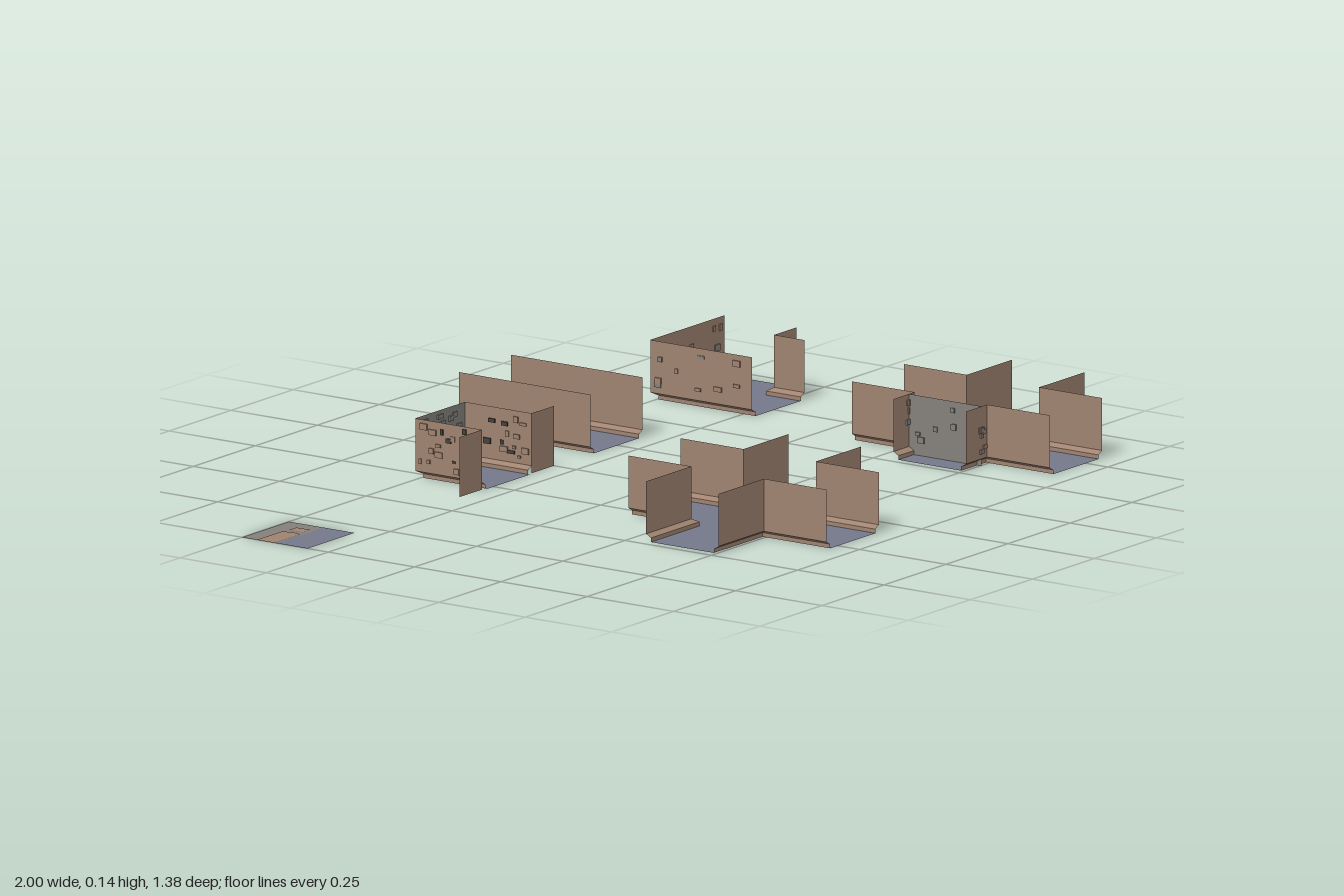
import * as THREE from 'three';

const H = 0.145;      // wall height
const SKIRT = 0.014;  // how far the skirting stands into the room
// Wall cross-section: [distance into the room, height]
const PROFILE = [[SKIRT, 0], [SKIRT, 0.01], [0, 0.018], [0, H]];

function material(name, color) {
  const m = new THREE.MeshStandardMaterial({ color, side: THREE.DoubleSide });
  m.name = name;
  return m;
}

export function createModel() {
  const floorBlue = material('floor slate', 0x757889);
  const wallBrown = material('wall brown', 0xa08370);
  const stoneGrey = material('stone grey', 0x84817c);
  const crackDark = material('crack dark', 0x46423e);

  let seed = 7;
  const rnd = () => (seed = (seed * 16807) % 2147483647) / 2147483647;

  const root = new THREE.Group();
  root.name = 'corridorSet';

  function section(name) {
    const g = new THREE.Group();
    g.name = name;
    root.add(g);
    return g;
  }

  function add(parent, name, geometry, mat) {
    const mesh = new THREE.Mesh(geometry, mat);
    mesh.name = name;
    parent.add(mesh);
    return mesh;
  }

  // Flat polygon from [x, z] corners
  function floor(parent, pts, mat = floorBlue, name = 'floor', y = 0) {
    const shape = new THREE.Shape(pts.map(([x, z]) => new THREE.Vector2(x, -z)));
    const geo = new THREE.ShapeGeometry(shape).rotateX(-Math.PI / 2);
    add(parent, name, geo, mat).position.y = y;
  }
  const rect = (x0, z0, x1, z1) => [[x0, z0], [x0, z1], [x1, z1], [x1, z0]];

  // Sweeps the wall profile along a path with mitred corners; room lies to the right-hand normal
  function walls(parent, pts, mats = []) {
    const normals = pts.slice(1).map(([x, z], i) => {
      const dx = x - pts[i][0], dz = z - pts[i][1], l = Math.hypot(dx, dz);
      return [-dz / l, dx / l];
    });
    const at = (i, [d, y]) => {
      const a = normals[i - 1] || [0, 0], b = normals[i] || [0, 0];
      return [pts[i][0] + d * (a[0] + b[0]), y, pts[i][1] + d * (a[1] + b[1])];
    };
    normals.forEach((n, i) => {
      const pos = [];
      for (let k = 0; k < PROFILE.length - 1; k++) {
        const a = at(i, PROFILE[k]), b = at(i + 1, PROFILE[k]);
        const c = at(i + 1, PROFILE[k + 1]), d = at(i, PROFILE[k + 1]);
        pos.push(...a, ...c, ...b, ...a, ...d, ...c);
      }
      const geo = new THREE.BufferGeometry();
      geo.setAttribute('position', new THREE.Float32BufferAttribute(pos, 3));
      geo.computeVertexNormals();
      add(parent, 'wall', geo, mats[i] || wallBrown);
    });
  }

  // Upright flat panel between two [x, z] points
  function panel(parent, name, [x0, z0], [x1, z1], mat) {
    const m = add(parent, name, new THREE.PlaneGeometry(Math.hypot(x1 - x0, z1 - z0), H), mat);
    m.position.set((x0 + x1) / 2, H / 2, (z0 + z1) / 2);
    m.rotation.y = -Math.atan2(z1 - z0, x1 - x0);
  }

  // Small uneven bricks scattered over a wall, standing out on both sides
  function bricks(parent, [x0, z0], [x1, z1], count, mats) {
    const len = Math.hypot(x1 - x0, z1 - z0);
    for (let i = 0; i < count; i++) {
      const w = 0.008 + rnd() * 0.014;
      const h = 0.006 + rnd() * 0.01;
      const mat = mats[i % mats.length];
      const t = (w / 2 + rnd() * (len - w)) / len;
      const b = add(parent, 'looseBrick', new THREE.BoxGeometry(w, h, 0.005 + rnd() * 0.004), mat);
      b.position.set(x0 + (x1 - x0) * t, 0.03 + rnd() * (H - 0.042), z0 + (z1 - z0) * t);
      b.rotation.y = -Math.atan2(z1 - z0, x1 - x0);
    }
  }

  // Four-way crossing; the left arm may be shorter
  function crossing(name, cx, cz, leftArm) {
    const g = section(name);
    g.position.set(cx, 0, cz);
    const L = 0.287, w = 0.105, f = w - SKIRT;
    const turn = ([x, z], k) => {
      for (; k > 0; k--) [x, z] = [-z, x];
      return [Math.max(x, -leftArm), z];
    };
    const outline = [];
    for (let k = 0; k < 4; k++) {
      walls(g, [[L, w], [w, w], [w, L]].map((p) => turn(p, k)));
      outline.push(...[[L, f], [f, f], [f, L]].map((p) => turn(p, k)));
    }
    floor(g, outline);
    return g;
  }

  crossing('crossing', -0.19, 0.4, 0.287);

  // Crossing with one arm walled off
  const blocked = crossing('blockedCrossing', 0.71, 0.4, 0.19);
  panel(blocked, 'blockingWall', [-0.127, -0.105], [-0.127, 0.105], stoneGrey);
  for (const z of [-0.105, 0.105])
    bricks(blocked, [-0.14, z], [-0.105, z], 6, [wallBrown, stoneGrey]);
  bricks(blocked, [-0.127, -0.1], [-0.127, 0.1], 6, [stoneGrey]);

  // Straight corridor
  const corridor = section('straightCorridor');
  walls(corridor, [[0.14, -0.31], [0.14, -0.69]]);
  walls(corridor, [[0.35, -0.69], [0.35, -0.31]]);
  floor(corridor, rect(0.14 + SKIRT, -0.69, 0.35 - SKIRT, -0.31));

  // Corner corridor
  const corner = section('cornerCorridor');
  walls(corner, [[0.66, -0.215], [0.66, -0.51], [0.96, -0.51]]);
  walls(corner, [[0.96, -0.302], [0.87, -0.302], [0.87, -0.215]]);
  const s = SKIRT;
  floor(corner, [[0.66 + s, -0.215], [0.87 - s, -0.215], [0.87 - s, -0.302 - s],
    [0.96, -0.302 - s], [0.96, -0.51 + s], [0.66 + s, -0.51 + s]]);
  bricks(corner, [0.66, -0.5], [0.66, -0.22], 9, [wallBrown, wallBrown, stoneGrey]);
  bricks(corner, [0.67, -0.51], [0.95, -0.51], 9, [wallBrown, wallBrown, stoneGrey]);

  // Alcove with a stone back wall and two flat wings
  const alcove = section('alcove');
  const path = [[-0.29, -0.315], [-0.29, -0.508], [-0.09, -0.508], [-0.09, -0.315]];
  walls(alcove, path, [wallBrown, stoneGrey, wallBrown]);
  floor(alcove, rect(-0.29 + s, -0.508 + s, -0.09 - s, -0.31));
  panel(alcove, 'leftWing', [-0.09, -0.315], [0, -0.315], wallBrown);
  panel(alcove, 'rightWing', [-0.38, -0.315], [-0.29, -0.315], wallBrown);
  for (let i = 0; i < 3; i++) {
    const main = i === 1 ? stoneGrey : wallBrown;
    bricks(alcove, path[i], path[i + 1], 18, [main, main, crackDark]);
  }

  // Loose floor tile in three bands with ragged patches
  const tile = section('floorTile');
  floor(tile, rect(-1, -0.4, -0.81, -0.31), floorBlue, 'slateBand');
  floor(tile, rect(-1, -0.5, -0.81, -0.4), stoneGrey, 'stoneBand');
  floor(tile, [[-1, -0.455], [-1, -0.403], [-0.9, -0.403], [-0.893, -0.425], [-0.9, -0.455]],
    wallBrown, 'brownPatch', 0.001);
  floor(tile, rect(-0.88, -0.45, -0.85, -0.41), wallBrown, 'smallBrownPatch', 0.001);

  return root;
}
